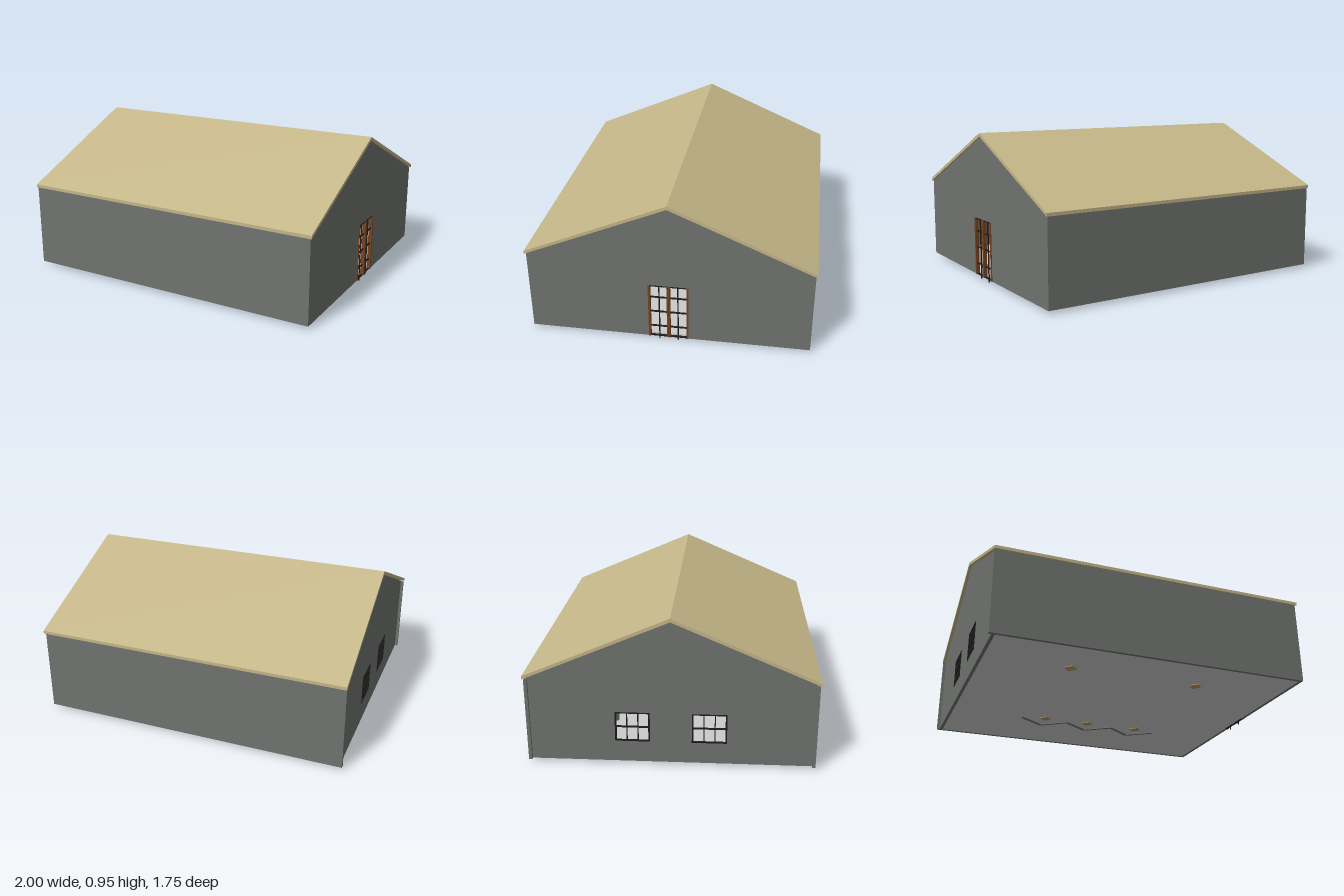
import * as THREE from 'three';

const paint = (color) => new THREE.MeshStandardMaterial({ color });

export function createModel() {
  const house = new THREE.Group();
  const wallMat = paint(0x70736f), roofMat = paint(0xc4b688), woodMat = paint(0x7a431f);
  const ironMat = paint(0x1c1c1c), floorMat = paint(0xcccccc), tanMat = paint(0xb59a5c);

  const add = (parent, name, geo, mat) => {
    const mesh = new THREE.Mesh(geo, mat);
    mesh.name = name;
    parent.add(mesh);
    return mesh;
  };
  // Box given by its limits on each axis
  const box = (parent, name, mat, x0, x1, y0, y1, z0, z1) => {
    const mesh = add(parent, name, new THREE.BoxGeometry(x1 - x0, y1 - y0, z1 - z0), mat);
    mesh.position.set((x0 + x1) / 2, (y0 + y1) / 2, (z0 + z1) / 2);
    return mesh;
  };
  // Outline in z and y, extruded along x
  const alongX = (name, points, holes, x0, x1, mat) => {
    const shape = new THREE.Shape(points.map(([z, y]) => new THREE.Vector2(-z, y)));
    for (const [z0, z1, y0, y1] of holes) {
      shape.holes.push(new THREE.Path([[z0, y0], [z0, y1], [z1, y1], [z1, y0]]
        .map(([z, y]) => new THREE.Vector2(-z, y))));
    }
    const geo = new THREE.ExtrudeGeometry(shape, { depth: x1 - x0, bevelEnabled: false });
    geo.rotateY(Math.PI / 2);
    add(house, name, geo, mat).position.x = x0;
  };

  const base = 0.02, eave = 0.55, half = 0.865, t = 0.02;
  const doorHalf = 0.12, doorTop = 0.395;

  // Roof: a folded sheet
  alongX('roof', [[-0.875, 0.55], [-0.875, 0.57], [0, 0.947], [0.875, 0.57], [0.875, 0.55], [0, 0.925]],
    [], -1, 1, roofMat);

  // Side walls
  for (const s of [-1, 1]) {
    const inner = s * (half - t), outer = s * half;
    box(house, 'sideWall', wallMat, -0.998, 0.99, base, eave, Math.min(inner, outer), Math.max(inner, outer));
  }

  // Gable walls: one with a door opening, the other with two windows
  const g = half - 0.001, ridge = 0.924;
  alongX('doorGable', [[-g, base], [-g, eave], [0, ridge], [g, eave], [g, base], [doorHalf, base],
    [doorHalf, doorTop], [-doorHalf, doorTop], [-doorHalf, base]], [], 0.97, 0.99, wallMat);
  const wins = [-0.23, 0.23], wy0 = 0.155, wy1 = 0.345, wHalf = 0.105;
  alongX('windowGable', [[-g, base], [-g, eave], [0, ridge], [g, eave], [g, base]],
    wins.map((z) => [z - wHalf, z + wHalf, wy0, wy1]), -0.98, -0.96, wallMat);

  // Floor slab
  box(house, 'floor', floorMat, -0.96, 0.97, 0.022, 0.032, -half + t, half - t);

  // Double door: wooden stiles with iron glazing bars and floor bolts
  for (const s of [-1, 1]) {
    const leaf = new THREE.Group();
    leaf.name = 'doorLeaf';
    house.add(leaf);
    const bar = (name, mat, a, b, y0, y1, x0, x1) =>
      box(leaf, name, mat, x0, x1, y0, y1, Math.min(s * a, s * b), Math.max(s * a, s * b));
    bar('outerStile', woodMat, 0.111, 0.124, base, 0.395, 0.972, 0.995);
    bar('innerStile', woodMat, 0.001, 0.01, base, 0.395, 0.972, 0.995);
    bar('topRail', ironMat, 0.01, 0.111, 0.387, 0.395, 0.976, 0.99);
    bar('bottomRail', ironMat, 0.01, 0.111, base, 0.026, 0.976, 0.99);
    for (const y of [0.095, 0.203, 0.308]) bar('glazingBar', ironMat, 0.01, 0.111, y - 0.004, y + 0.004, 0.979, 0.987);
    bar('boltBar', ironMat, 0.054, 0.061, 0, 0.39, 0.979, 0.986);
  }

  // Window frames and glazing bars
  for (const z of wins) {
    const win = new THREE.Group();
    win.name = 'window';
    house.add(win);
    for (let i = 0; i < 4; i++) {
      const w = i % 3 ? 0.003 : 0.005;
      const zz = z - wHalf + 0.005 + i * (2 * wHalf - 0.01) / 3;
      box(win, 'uprightBar', ironMat, -0.982, -0.97, wy0, wy1, zz - w, zz + w);
    }
    for (let i = 0; i < 3; i++) {
      const y = wy0 + 0.004 + i * (wy1 - wy0 - 0.008) / 2;
      box(win, 'crossBar', ironMat, -0.981, -0.971, y - 0.004, y + 0.004, z - wHalf, z + wHalf);
    }
  }

  // Pale panel and tan skirting on the inner end wall
  box(house, 'wallPanel', floorMat, -0.96, -0.95, 0.16, 0.29, -0.042, 0.042);
  box(house, 'skirting', tanMat, -0.96, -0.95, 0.032, 0.045, -0.84, 0.84);

  // Zigzag partition inside
  for (let i = 0; i < 6; i++) {
    const x = 0.425 - i * 0.165;
    const panel = add(house, 'partitionPanel', new THREE.BoxGeometry(0.2, 0.2, 0.02), wallMat);
    panel.position.set(x, 0.118, -0.445);
    panel.rotation.y = (i % 2 ? -1 : 1) * -0.6;
  }

  // Tables on square plinths and thin legs
  for (const [x, z] of [[0.36, -0.36], [-0.01, -0.36], [-0.32, -0.36], [0.4, 0.55], [-0.43, 0.55]]) {
    const table = new THREE.Group();
    table.name = 'table';
    table.position.set(x, 0, z);
    table.rotation.y = Math.PI / 4;
    house.add(table);
    box(table, 'plinth', tanMat, -0.03, 0.03, 0.018, 0.035, -0.03, 0.03);
    box(table, 'post', woodMat, -0.01, 0.01, 0.035, 0.12, -0.01, 0.01);
    box(table, 'tableTop', tanMat, -0.06, 0.06, 0.12, 0.13, -0.06, 0.06);
  }
  return house;
}
